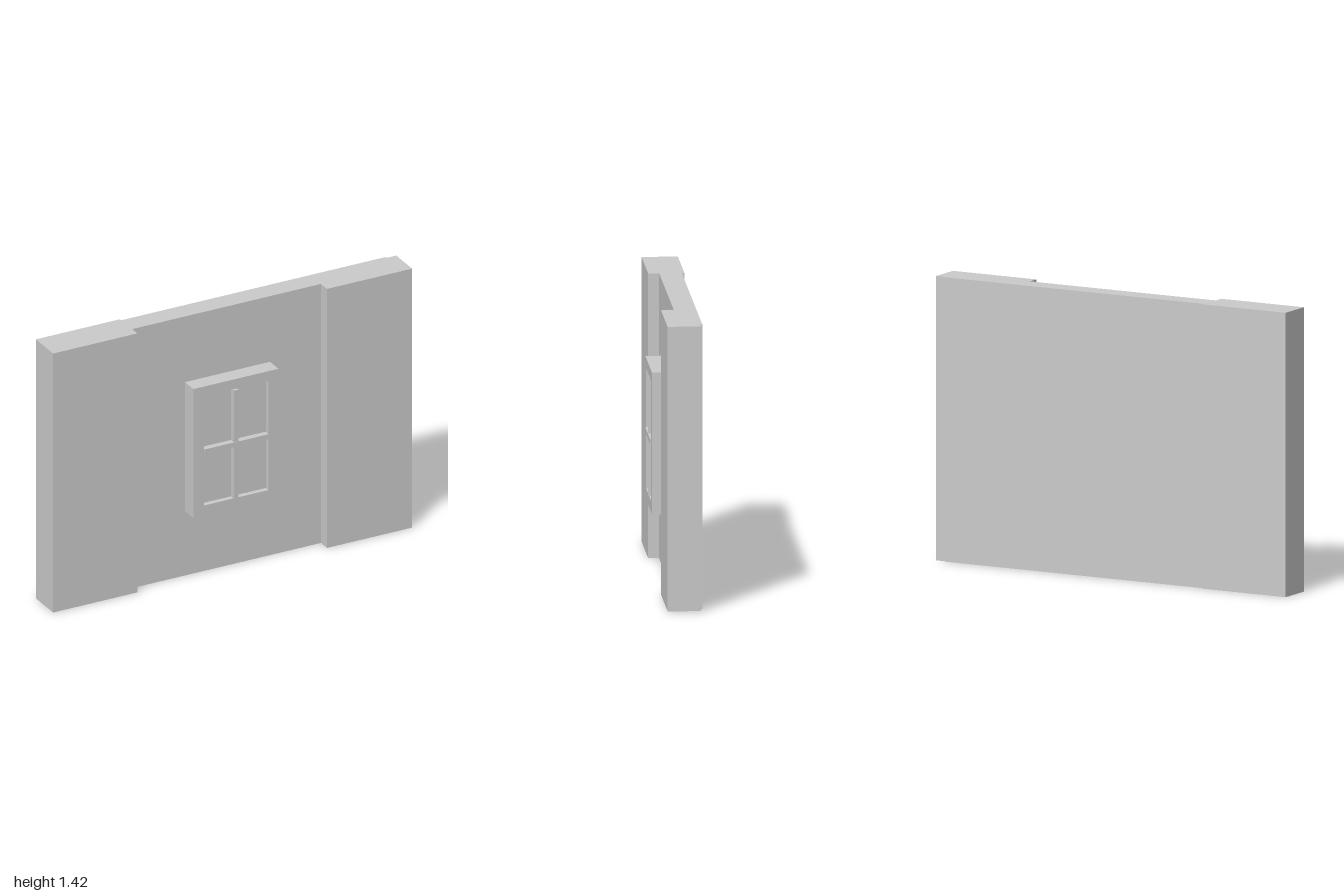
import * as THREE from 'three';

const material = new THREE.MeshStandardMaterial({ color: 0xcccccc, flatShading: true });

function addMesh(parent, name, geometry) {
  const mesh = new THREE.Mesh(geometry, material);
  mesh.name = name;
  parent.add(mesh);
  return mesh;
}

// Box given by its extents on each axis
function addBox(parent, name, [x0, x1], [y0, y1], [z0, z1]) {
  const mesh = addMesh(parent, name, new THREE.BoxGeometry(x1 - x0, y1 - y0, z1 - z0));
  mesh.position.set((x0 + x1) / 2, (y0 + y1) / 2, (z0 + z1) / 2);
  return mesh;
}

const rectangle = (Path, x0, x1, y0, y1) => new Path([
  new THREE.Vector2(x0, y0), new THREE.Vector2(x1, y0),
  new THREE.Vector2(x1, y1), new THREE.Vector2(x0, y1),
]);

export function createModel() {
  const model = new THREE.Group();
  model.name = 'windowWall';

  // Wall with a thicker pier at each end: plan outline (x, z) raised to full height
  const plan = [
    [-1, 0.07], [-0.53, 0.07], [-0.53, 0.016], [0.525, 0.016], [0.525, 0.079], [1, 0.079],
    [1, -0.086], [0.947, -0.086], [0.947, -0.096], [-0.53, -0.096], [-0.53, -0.109], [-1, -0.109],
  ];
  const wall = new THREE.ExtrudeGeometry(
    new THREE.Shape(plan.map(([x, z]) => new THREE.Vector2(x, -z))),
    { depth: 1.42, bevelEnabled: false });
  addMesh(model, 'wall', wall.rotateX(-Math.PI / 2));

  const window = new THREE.Group();
  window.name = 'window';
  model.add(window);

  // Projecting surround with a rectangular opening
  const surround = rectangle(THREE.Shape, -0.235, 0.24, 0.352, 1.06);
  surround.holes.push(rectangle(THREE.Path, -0.177, 0.184, 0.408, 1.007));
  const frame = new THREE.ExtrudeGeometry(surround, { depth: 0.088, bevelEnabled: false });
  addMesh(window, 'windowFrame', frame.translate(0, 0, 0.016));

  // Recessed pane and the crossing glazing bars
  addBox(window, 'pane', [-0.177, 0.184], [0.408, 1.007], [0.016, 0.077]);
  addBox(window, 'verticalBar', [-0.011, 0.016], [0.408, 1.0], [0.07, 0.107]);
  addBox(window, 'horizontalBar', [-0.175, 0.182], [0.69, 0.717], [0.07, 0.109]);

  return model;
}
